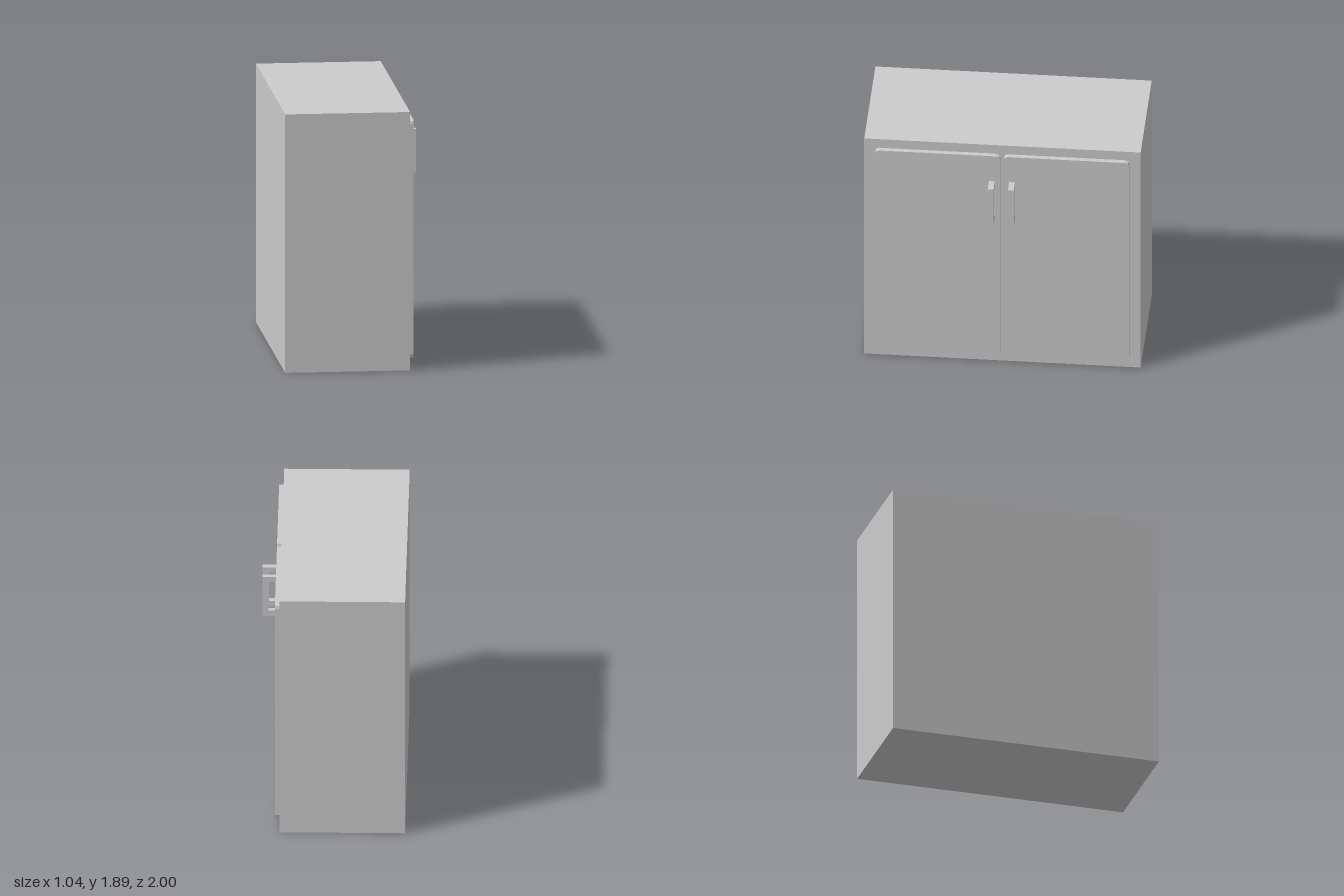
import * as THREE from 'three';

const material = new THREE.MeshStandardMaterial({ color: 0xcccccc, flatShading: true });

// Extrudes a (z, y) outline along +x, centred on z = 0
function extrudeAlong(shape, depth, axis) {
  const geo = new THREE.ExtrudeGeometry(shape, { depth, bevelEnabled: false, curveSegments: 2 });
  if (axis === 'x') geo.rotateY(Math.PI / 2);
  return geo;
}

// Door panel outline with small clipped corners
function doorShape(w, y0, y1, r) {
  const h = w / 2, s = new THREE.Shape();
  s.moveTo(-h + r, y0);
  s.lineTo(h - r, y0);
  s.quadraticCurveTo(h, y0, h, y0 + r);
  s.lineTo(h, y1 - r);
  s.quadraticCurveTo(h, y1, h - r, y1);
  s.lineTo(-h + r, y1);
  s.quadraticCurveTo(-h, y1, -h, y1 - r);
  s.lineTo(-h, y0 + r);
  s.quadraticCurveTo(-h, y0, -h + r, y0);
  return s;
}

// Square C-shaped pull in the x-y plane
function handleShape() {
  const points = [
    [0.415, 1.28], [0.52, 1.28], [0.52, 1.6], [0.415, 1.6],
    [0.415, 1.56], [0.475, 1.56], [0.475, 1.325], [0.415, 1.325],
  ];
  return new THREE.Shape(points.map(([x, y]) => new THREE.Vector2(x, y)));
}

export function createModel() {
  const cabinet = new THREE.Group();
  cabinet.name = 'cabinet';

  const add = (name, geometry, x, y, z) => {
    const mesh = new THREE.Mesh(geometry, material);
    mesh.name = name;
    mesh.position.set(x, y, z);
    cabinet.add(mesh);
  };

  // Carcass
  add('body', new THREE.BoxGeometry(0.905, 1.895, 2), -0.0725, 0.9475, 0);

  // Mirrored pair of doors and pulls on the +x face
  const door = extrudeAlong(doorShape(0.907, 0.07, 1.82, 0.03), 0.035, 'x');
  const handle = extrudeAlong(handleShape(), 0.043, 'z');
  for (const [side, name] of [[1, 'front'], [-1, 'back']]) {
    add(`${name}Door`, door, 0.38, 0, side * 0.4665);
    add(`${name}Handle`, handle, 0, 0, side * 0.073 - 0.0215);
  }
  return cabinet;
}
